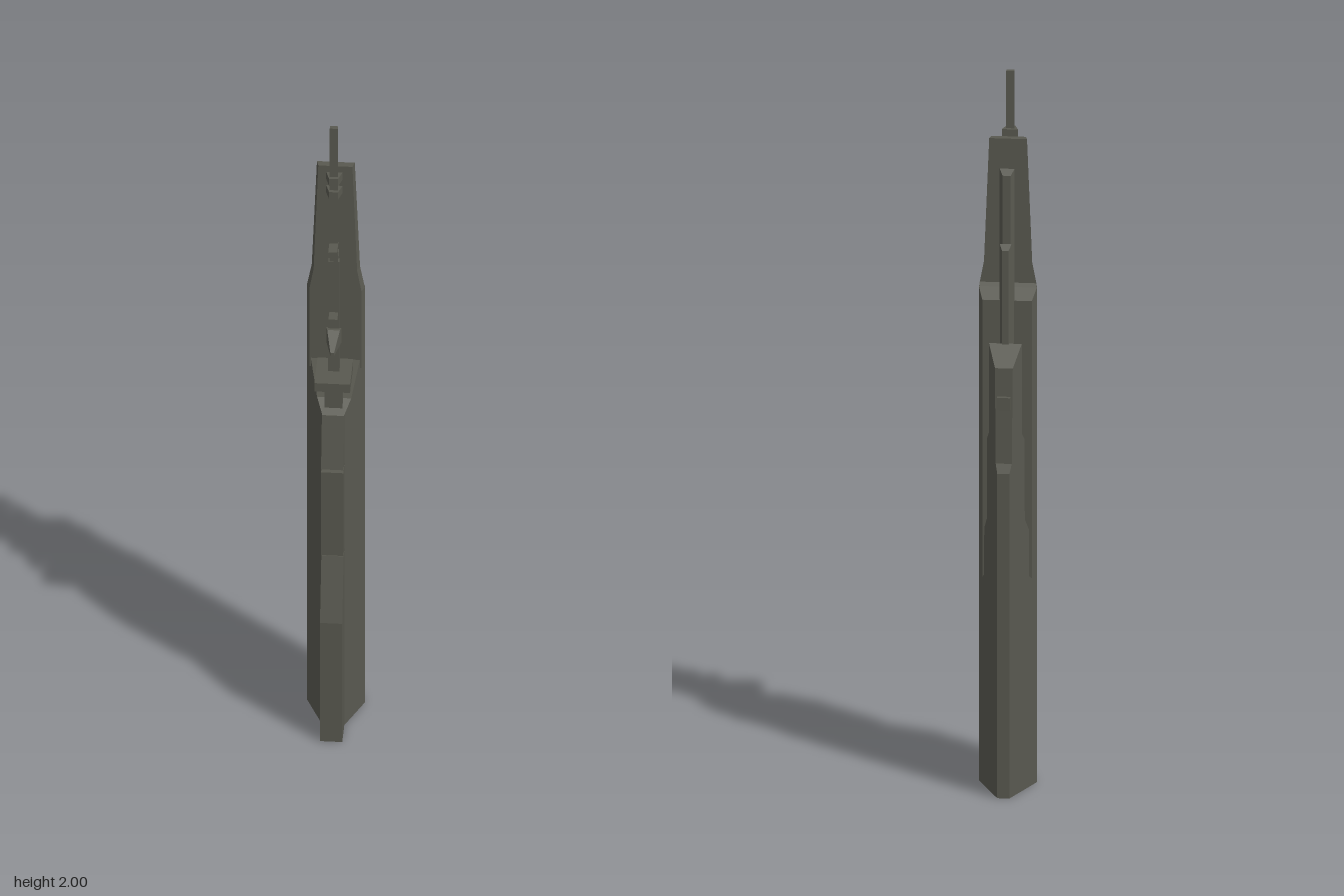
import * as THREE from 'three';

const hullGrey = new THREE.MeshStandardMaterial({ color: 0x595950 });
hullGrey.name = 'hull grey';

// Half-width of the tower's hexagonal plan, behind and ahead of its widest line
const backW = (z) => 0.078 + (z + 0.02) * 0.45;
const frontW = (z) => 0.078 - (z + 0.02) * 0.457;

export function createModel() {
  const tower = new THREE.Group();
  tower.name = 'tower';

  const add = (name, geometry) => {
    const mesh = new THREE.Mesh(geometry, hullGrey);
    mesh.name = name;
    tower.add(mesh);
    return mesh;
  };

  const outline = (pts) => new THREE.Shape(pts.map(([a, b]) => new THREE.Vector2(a, b)));

  // Side profile of [z, y] points, spread sideways to a half-width that may depend on z
  const slab = (name, pts, width) => {
    const g = new THREE.ExtrudeGeometry(outline(pts), { depth: 1, bevelEnabled: false });
    const p = g.attributes.position;
    for (let i = 0; i < p.count; i++) {
      const z = p.getX(i);
      const w = typeof width === 'function' ? width(z) : width;
      p.setXYZ(i, p.getZ(i) > 0.5 ? -w : w, p.getY(i), z);
    }
    g.computeVertexNormals();
    return add(name, g);
  };

  // Box from half-width, y range and z range
  const block = (name, w, y0, y1, z0, z1) => {
    const mesh = add(name, new THREE.BoxGeometry(w * 2, y1 - y0, z1 - z0));
    mesh.position.set(0, (y0 + y1) / 2, (z0 + z1) / 2);
    return mesh;
  };

  // Main hull: tapered front half and the layer behind its widest line
  slab('frontHull', [[-0.02, 0], [0.085, 0], [0.085, 1.05], [0.05, 1.08], [0.005, 1.18], [-0.02, 1.18]], frontW);
  slab('middleHull', [[-0.02, 0], [-0.02, 1.41], [-0.045, 1.38], [-0.045, 0]], backW);

  // Rear hull, split from the middle by an open slot
  slab('rearHull', [
    [-0.045, 0], [-0.045, 0.59], [-0.058, 0.6], [-0.06, 0.735], [-0.08, 0.77], [-0.082, 1.0],
    [-0.095, 1.02], [-0.095, 1.275], [-0.14, 1.22], [-0.145, 0.95], [-0.157, 0.925], [-0.157, 0],
  ], backW);

  // Keel along the front in three sections
  slab('lowerKeel', [[0.08, 0], [0.16, 0], [0.16, 0.4], [0.11, 0.59], [0.08, 0.59]], 0.03);
  block('middleKeel', 0.03, 0.6, 0.88, 0.08, 0.121);
  slab('upperKeel', [[0.08, 0.89], [0.121, 0.89], [0.09, 1.05], [0.06, 1.07], [0.06, 0.89]], 0.03);

  // Tall shoulder plate with chamfered front edges
  const plate = new THREE.ExtrudeGeometry(outline([
    [-0.078, 1.15], [0.078, 1.15], [0.078, 1.41], [0.065, 1.48],
    [0.051, 1.83], [-0.051, 1.83], [-0.065, 1.48], [-0.078, 1.41],
  ]), { depth: 0.019, bevelEnabled: false });
  plate.translate(0, 0, -0.013);
  const pp = plate.attributes.position;
  for (let i = 0; i < pp.count; i++) if (pp.getZ(i) > 0) pp.setX(i, pp.getX(i) * 0.9);
  plate.computeVertexNormals();
  add('shoulderPlate', plate);
  slab('plateBacking', [[-0.02, 1.15], [-0.013, 1.15], [-0.013, 1.42], [-0.02, 1.41]], 0.077);

  // Rear spines rising from the slot
  slab('innerSpine', [[-0.043, 0.59], [-0.043, 1.755], [-0.058, 1.74], [-0.058, 0.59]],
    (z) => 0.02 + (z + 0.043) * 0.6);
  slab('outerSpine', [[-0.085, 1.0], [-0.085, 1.555], [-0.097, 1.54], [-0.097, 1.0]],
    (z) => 0.016 + (z + 0.085) * 0.6);
  for (const y of [0.82, 0.957, 1.093, 1.23, 1.365]) {
    block('slotRung', 0.012, y - 0.007, y + 0.007, -0.09, -0.05);
  }
  block('rearBox', 0.018, 1.105, 1.14, -0.153, -0.108);

  // Platform and its bracket
  block('platform', 0.048, 1.152, 1.18, 0, 0.12);
  slab('platformBracket', [[0.04, 1.152], [0.095, 1.152], [0.072, 1.125], [0.072, 1.055], [0.05, 1.055], [0.05, 1.125]], 0.024);

  // Mast with collars, braces and prongs
  block('mast', 0.015, 1.06, 1.55, 0.048, 0.064);
  block('mastTip', 0.011, 1.55, 2, 0.051, 0.063);
  for (const y of [1.78, 1.825]) {
    slab('mastCollar', [[0.042, y - 0.012], [0.072, y - 0.012], [0.072, y + 0.012], [0.042, y + 0.012]],
      (z) => 0.022 - (z - 0.042) * 0.33);
  }
  block('mastBrace', 0.01, 1.53, 1.55, 0, 0.052);
  block('mastBrace', 0.01, 1.472, 1.492, 0, 0.052);
  slab('mastGusset', [[0, 1.285], [0.05, 1.295], [0.05, 1.33], [0, 1.325]], 0.01);
  slab('mastFin', [[0.06, 1.325], [0.072, 1.325], [0.12, 1.285], [0.12, 1.275], [0.06, 1.275]],
    (z) => 0.02 - (z - 0.06) * 0.25);
  block('mastProng', 0.012, 1.603, 1.612, 0.055, 0.103);
  block('mastProng', 0.012, 1.37, 1.38, 0.055, 0.097);

  return tower;
}
